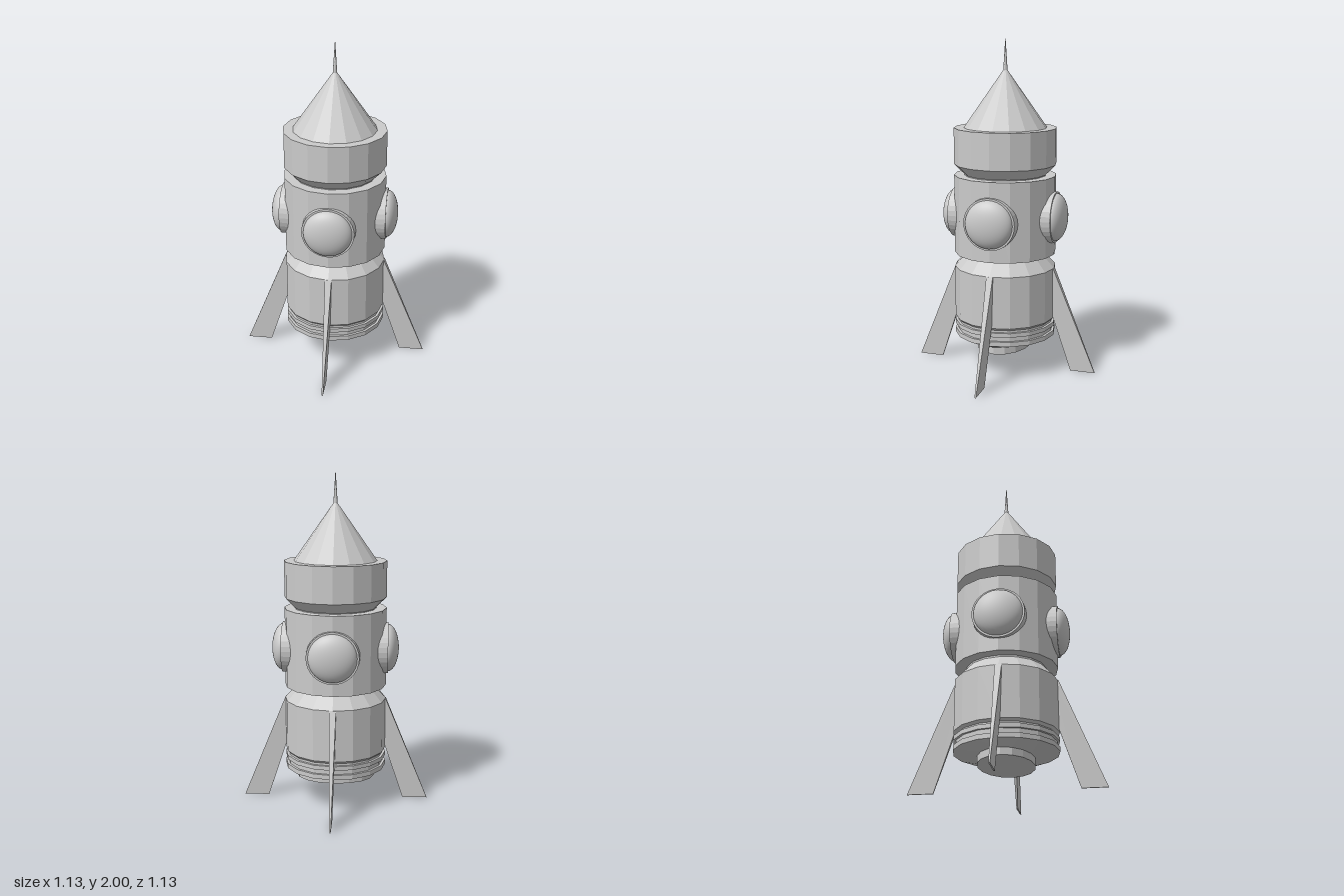
import * as THREE from 'three';

const SIDES = 16;
const flat = new THREE.MeshStandardMaterial({ color: 0xcccccc, flatShading: true });
const smooth = new THREE.MeshStandardMaterial({ color: 0xcccccc });

function add(parent, name, geometry, material = flat) {
  const mesh = new THREE.Mesh(geometry, material);
  mesh.name = name;
  parent.add(mesh);
  return mesh;
}

// Faceted solid of revolution, profile listed from bottom to top as [radius, y]
function turned(profile) {
  return new THREE.LatheGeometry(profile.map(([r, y]) => new THREE.Vector2(r, y)), SIDES);
}

// Swept fin lying in the xy plane, thinning towards the foot
function finGeometry() {
  const shape = new THREE.Shape();
  [[0.27, 0.635], [0.27, 0.435], [0.415, 0], [0.565, 0], [0.305, 0.635]]
    .forEach(([x, y], i) => (i ? shape.lineTo(x, y) : shape.moveTo(x, y)));
  const geo = new THREE.ExtrudeGeometry(shape, { depth: 1, bevelEnabled: false });
  const pos = geo.attributes.position;
  for (let i = 0; i < pos.count; i++) {
    const half = 0.004 + 0.025 * pos.getY(i);
    pos.setZ(i, (pos.getZ(i) - 0.5) * 2 * half);
  }
  geo.computeVertexNormals();
  return geo;
}

export function createModel() {
  const group = new THREE.Group();

  // Engine: oval nozzle blending up into the round skirt
  const engine = turned([[0, 0.14], [0.235, 0.14], [0.235, 0.182], [0.305, 0.215]]);
  const pos = engine.attributes.position;
  for (let i = 0; i < pos.count; i++) {
    if (pos.getY(i) < 0.2) pos.setZ(i, pos.getZ(i) * 0.7);
  }
  engine.computeVertexNormals();
  add(group, 'engineNozzle', engine);

  // Lower hull with grooved rings and a sloped shoulder
  add(group, 'lowerHull', turned([
    [0.305, 0.215], [0.305, 0.243], [0.29, 0.243], [0.29, 0.272],
    [0.305, 0.272], [0.305, 0.297], [0.29, 0.297], [0.29, 0.31],
    [0.305, 0.325], [0.305, 0.635], [0.235, 0.71], [0.235, 0.72],
  ]));

  // Cabin drum
  add(group, 'cabin', turned([[0.235, 0.72], [0.305, 0.72], [0.305, 1.19], [0.24, 1.19]]));

  // Upper collar with a chamfered underside
  add(group, 'collar', turned([
    [0.245, 1.19], [0.245, 1.195], [0.305, 1.255], [0.305, 1.47], [0.24, 1.47],
  ]));

  // Nose and needle
  add(group, 'noseCone', turned([[0.247, 1.47], [0.012, 1.805]]));
  add(group, 'needle', turned([[0.013, 1.8], [0, 2]]));

  // Four portholes and four fins around the hull
  const frameGeo = new THREE.CylinderGeometry(0.153, 0.159, 0.117, 32).rotateZ(-Math.PI / 2);
  const domeGeo = new THREE.SphereGeometry(1, 32, 12, 0, Math.PI * 2, 0, Math.PI / 2)
    .scale(0.142, 0.067, 0.142).rotateZ(-Math.PI / 2);
  const finGeo = finGeometry();
  for (let i = 0; i < 4; i++) {
    const quarter = new THREE.Group();
    quarter.name = 'hullQuarter' + (i + 1);
    quarter.rotation.y = i * Math.PI / 2;
    add(quarter, 'portholeFrame', frameGeo).position.set(0.2575, 0.947, 0);
    add(quarter, 'portholeDome', domeGeo, smooth).position.set(0.313, 0.947, 0);
    add(quarter, 'fin', finGeo);
    group.add(quarter);
  }
  return group;
}
